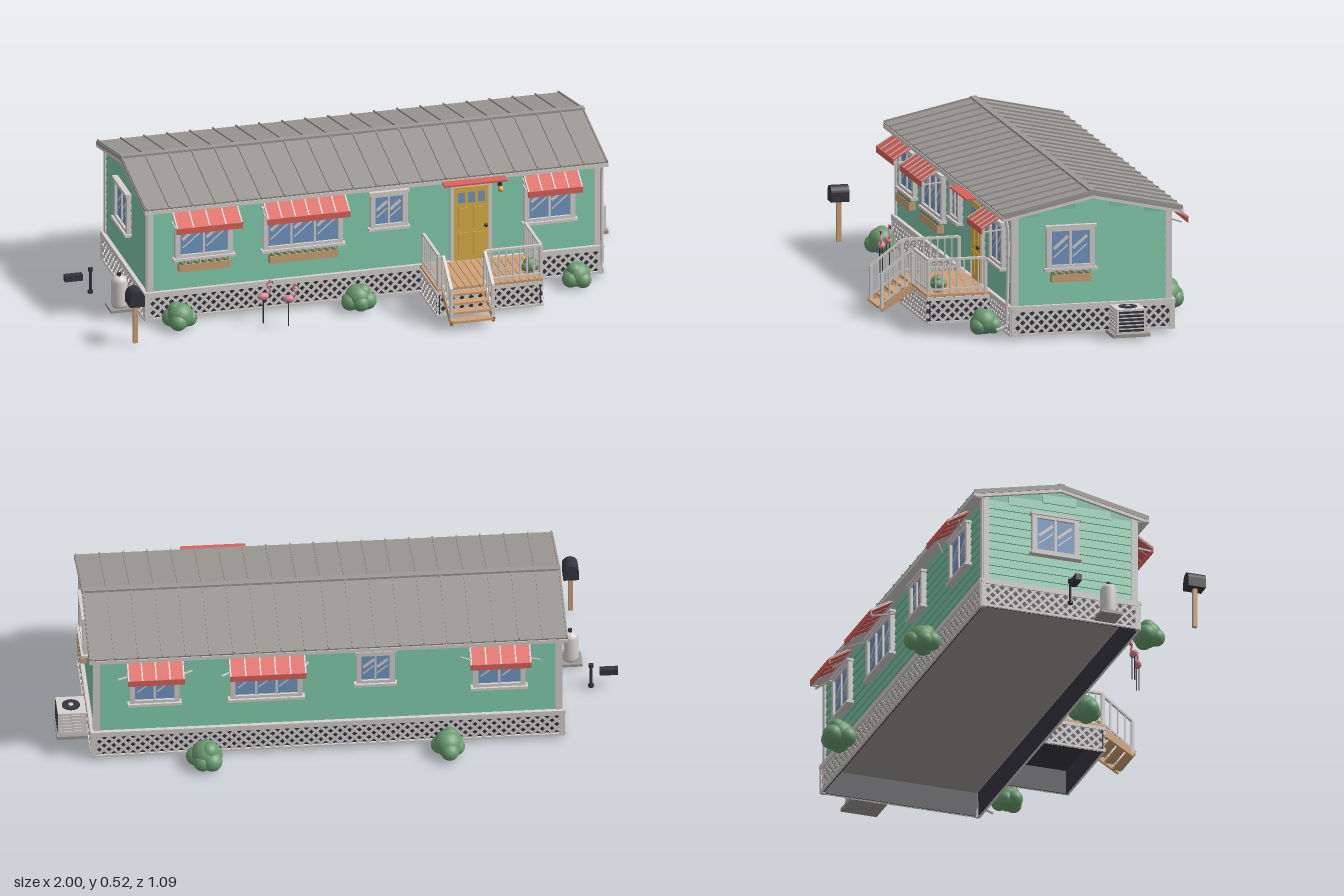
import * as THREE from 'three';
import { mergeGeometries } from 'three/addons/utils/BufferGeometryUtils.js';

const mat = (name, color) => Object.assign(new THREE.MeshStandardMaterial({ color }), { name });
const M = {
  siding: mat('mint siding', 0x7cc4a6), trim: mat('pale trim', 0xd6d2d0), roof: mat('grey roof', 0x9d9995),
  red: mat('awning red', 0xdd625a), glass: mat('window blue', 0x7299c6), wood: mat('light wood', 0xd0a276),
  dark: mat('dark iron', 0x35353f), leaf: mat('leaf green', 0x6b9c70), gold: mat('door yellow', 0xdcb148),
  pink: mat('flower pink', 0xdc8898),
};

function add(parent, name, geo, m, x = 0, y = 0, z = 0) {
  const mesh = new THREE.Mesh(geo, m);
  mesh.name = name;
  mesh.position.set(x, y, z);
  parent.add(mesh);
  return mesh;
}
const box = (p, name, m, w, h, d, x, y, z) => add(p, name, new THREE.BoxGeometry(w, h, d), m, x, y, z);
const cyl = (p, name, m, r0, r1, h, x, y, z, n = 16) => add(p, name, new THREE.CylinderGeometry(r0, r1, h, n), m, x, y, z);
const ball = (p, name, m, r, x, y, z) => add(p, name, new THREE.SphereGeometry(r, 12, 8), m, x, y, z);
function group(parent, name, x = 0, y = 0, z = 0, ry = 0) {
  const g = new THREE.Group();
  g.name = name;
  g.position.set(x, y, z);
  g.rotation.y = ry;
  parent.add(g);
  return g;
}
// Square bar between two points
function bar(p, name, m, a, b, w, d = w) {
  const A = new THREE.Vector3(...a), B = new THREE.Vector3(...b);
  const mesh = box(p, name, m, w, d, A.distanceTo(B), 0, 0, 0);
  mesh.position.copy(A).add(B).multiplyScalar(0.5);
  mesh.lookAt(B);
  return mesh;
}

// Crossed diagonal slats clipped to a rectangle, with dark backing and rails
function lattice(p, x0, x1, y0, y1) {
  const H = y1 - y0, slats = [];
  for (let c = x0 - H; c < x1; c += 0.034) {
    const t0 = Math.max(0, x0 - c), t1 = Math.min(H, x1 - c);
    if (t1 - t0 < 0.004) continue;
    for (const s of [1, -1]) {
      const g = new THREE.BoxGeometry((t1 - t0) * Math.SQRT2, 0.009, 0.004);
      g.rotateZ(s * Math.PI / 4);
      const t = (t0 + t1) / 2;
      g.translate(c + t, s > 0 ? y0 + t : y1 - t, 0.002 + s * 0.0008);
      slats.push(g);
    }
  }
  add(p, 'latticeSlats', mergeGeometries(slats), M.trim);
  const w = x1 - x0, x = (x0 + x1) / 2;
  box(p, 'latticeBacking', M.dark, w, H, 0.004, x, (y0 + y1) / 2, -0.004);
  box(p, 'latticeTopRail', M.trim, w, 0.012, 0.012, x, y1, 0.002);
  box(p, 'latticeBottomRail', M.trim, w, 0.008, 0.01, x, y0 + 0.004, 0.002);
}

function awning(p, x, w, y) {
  const g = group(p, 'awning', x, y, 0);
  g.rotation.x = 0.549;
  box(g, 'awningSheet', M.red, w, 0.005, 0.105, 0, 0, 0.0525);
  const n = Math.round(w / 0.054);
  for (let i = 0; i <= n; i++) box(g, 'awningBatten', M.trim, 0.005, 0.008, 0.105, (i / n - 0.5) * (w - 0.005), 0.001, 0.0525);
  box(p, 'awningValance', M.red, w, 0.022, 0.004, x, y - 0.063, 0.09);
  for (const s of [-1, 1]) bar(p, 'awningArm', M.trim, [x + s * (w / 2 - 0.006), y - 0.075, 0.004], [x + s * (w / 2 - 0.006), y - 0.052, 0.085], 0.005);
}

// Framed window on a wall; x centre, y range, number of panes
function windowUnit(p, x, w, y0, y1, panes, { shade = 0, planter = 0 } = {}) {
  const h = y1 - y0, g = group(p, 'window', x, (y0 + y1) / 2, 0.004), iw = w - 0.036, ih = h - 0.032;
  box(g, 'windowGlass', M.glass, w - 0.01, h - 0.01, 0.006, 0, 0, 0);
  for (const s of [-1, 1]) {
    box(g, 'windowJamb', M.trim, 0.018, h, 0.02, s * (w / 2 - 0.009), 0, 0.002);
    box(g, 'windowRail', M.trim, w, 0.016, 0.02, 0, s * (h / 2 - 0.008), 0.002);
  }
  box(g, 'windowSill', M.trim, w + 0.016, 0.01, 0.03, 0, -h / 2, 0.005);
  box(g, 'windowHead', M.trim, w + 0.012, 0.01, 0.026, 0, h / 2, 0.004);
  const pw = iw / panes;
  for (let i = 0; i < panes; i++) {
    const cx = -iw / 2 + pw * (i + 0.5);
    if (i) box(g, 'windowMullion', M.trim, 0.008, ih, 0.014, cx - pw / 2, 0, 0.002);
    for (const [dy, t] of [[0.018, 0.011], [-0.012, 0.005]]) { // reflections
      const r = box(g, 'glassStreak', M.trim, pw * 0.98, t, 0.002, cx, dy * ih / 0.12, 0.003);
      r.rotation.z = 0.7;
    }
  }
  if (shade) awning(p, x, shade, 0.427);
  if (planter) {
    const y = y0 - 0.03;
    box(p, 'flowerBox', M.wood, planter, 0.028, 0.026, x, y, 0.014);
    const n = Math.round(planter / 0.026);
    for (let i = 0; i < n; i++) {
      const px = x + ((i + 0.5) / n - 0.5) * planter;
      ball(p, 'flowerLeaves', M.leaf, 0.012, px, y + 0.017, 0.015);
      ball(p, 'flower', i % 2 ? M.pink : M.red, 0.005, px + 0.006, y + 0.026, 0.021);
    }
  }
}

function bush(p, x, z, r) {
  const g = group(p, 'bush', x, 0, z, x * 5);
  for (const [bx, by, bz, s] of [[0, 0.62, 0, 0.75], [0.5, 0.45, 0.15, 0.52], [-0.48, 0.42, 0.2, 0.5], [0.1, 0.4, -0.45, 0.5], [0.1, 0.4, 0.42, 0.48], [0.25, 0.95, 0.05, 0.45]])
    add(g, 'bushLeaves', new THREE.IcosahedronGeometry(r * s, 3), M.leaf, bx * r, by * r, bz * r);
  for (let i = 0; i < 5; i++) ball(g, 'bushBlossom', M.pink, 0.004, Math.cos(i * 1.3) * r * 0.55, r * 1.02, Math.sin(i * 1.3) * r * 0.55);
}

function house(root) {
  const h = group(root, 'house', 0.0475, 0, -0.115), L = 0.82, D = 0.283;
  const s = new THREE.Shape([[-D, 0.1], [D, 0.1], [D, 0.43], [0, 0.492], [-D, 0.43]].map(q => new THREE.Vector2(...q)));
  const body = add(h, 'bodyCore', new THREE.ExtrudeGeometry(s, { depth: 2 * L, bevelEnabled: false }), M.siding, -L, 0, 0);
  body.rotation.y = Math.PI / 2;
  box(h, 'floor', M.roof, 2 * L, 0.008, 2 * D, 0, 0.094, 0);
  // Walls: lap siding, corner boards and lattice skirt
  for (const [ry, half, out] of [[0, L, D], [Math.PI, L, D], [Math.PI / 2, D, L], [-Math.PI / 2, D, L]]) {
    const w = group(h, 'wall', Math.sin(ry) * out, 0, Math.cos(ry) * out, ry);
    const board = (y, hw) => { box(w, 'sidingBoard', M.siding, 2 * hw, 0.034, 0.004, 0, y, 0.001).rotation.x = -0.13; };
    for (let i = 0; i < 10; i++) board(0.122 + i * 0.0315, half);
    if (half === D) { board(0.43, 0.19); board(0.458, 0.063); }
    for (const e of [-1, 1]) box(w, 'cornerBoard', M.trim, 0.02, 0.335, 0.012, e * (half - 0.006), 0.265, 0.003);
    const k = group(w, 'skirt', 0, 0, 0.011);
    lattice(k, -half - 0.01, half + 0.01, 0.002, 0.094);
    box(k, 'skirtLedge', M.trim, 2 * half + 0.03, 0.012, 0.018, 0, 0.102, -0.001);
    for (const e of [-1, 1]) box(k, 'skirtPost', M.trim, 0.016, 0.095, 0.012, e * (half + 0.005), 0.0475, 0);
  }
  // Pitched metal roof with standing seams
  for (const ry of [0, Math.PI]) {
    const side = group(h, 'roofSide', 0, 0.508, 0, ry), slope = group(side, 'roofSlope');
    slope.rotation.x = 0.212;
    box(slope, 'roofSheet', M.roof, 1.69, 0.012, 0.334, 0, -0.006, 0.167);
    for (let i = 0; i <= 20; i++) box(slope, 'roofSeam', M.roof, 0.005, 0.008, 0.332, -0.84 + i * 0.084, 0.002, 0.167);
    for (const e of [-1, 1]) box(slope, 'rakeBoard', M.trim, 0.01, 0.014, 0.33, e * 0.838, -0.016, 0.166);
    box(side, 'gutter', M.trim, 1.69, 0.014, 0.012, 0, -0.083, 0.322);
    box(side, 'soffit', M.trim, 1.66, 0.004, 0.04, 0, -0.087, 0.302);
  }
  box(h, 'ridgeCap', M.roof, 1.69, 0.008, 0.024, 0, 0.511, 0);
}

function openings(root) {
  const front = group(root, 'frontOpenings', 0, 0, 0.173), back = group(root, 'backOpenings', 0, 0, -0.403, Math.PI);
  const right = group(root, 'plusEndOpenings', 0.872, 0, 0, Math.PI / 2), left = group(root, 'minusEndOpenings', -0.777, 0, 0, -Math.PI / 2);
  windowUnit(front, -0.575, 0.21, 0.225, 0.385, 2, { shade: 0.24, planter: 0.185 });
  windowUnit(front, -0.213, 0.29, 0.222, 0.385, 3, { shade: 0.3, planter: 0.25 });
  windowUnit(front, 0.1, 0.135, 0.262, 0.398, 2);
  windowUnit(front, 0.686, 0.185, 0.222, 0.385, 2, { shade: 0.2 });
  windowUnit(back, -0.66, 0.175, 0.222, 0.385, 2, { shade: 0.2 });
  windowUnit(back, -0.265, 0.255, 0.222, 0.385, 3, { shade: 0.27 });
  windowUnit(back, 0.12, 0.135, 0.262, 0.398, 2);
  windowUnit(back, 0.557, 0.185, 0.222, 0.385, 2, { shade: 0.215 });
  windowUnit(right, 0.035, 0.175, 0.235, 0.388, 2, { planter: 0.145 });
  windowUnit(left, -0.135, 0.175, 0.235, 0.388, 2);
  // Front door with lights, panels, lamp and flat canopy
  const d = group(front, 'door', 0.4, 0, 0);
  box(d, 'doorFrame', M.trim, 0.152, 0.295, 0.014, 0, 0.252, 0.003);
  box(d, 'doorLeaf', M.gold, 0.126, 0.278, 0.016, 0, 0.247, 0.005);
  for (const x of [-0.036, 0, 0.036]) box(d, 'doorLight', M.glass, 0.025, 0.04, 0.004, x, 0.347, 0.013);
  for (const x of [-0.028, 0.028]) for (const [y, hh] of [[0.27, 0.075], [0.17, 0.085]]) box(d, 'doorPanel', M.gold, 0.04, hh, 0.006, x, y, 0.013);
  ball(d, 'doorKnob', M.dark, 0.007, 0.052, 0.235, 0.018);
  box(front, 'canopy', M.red, 0.23, 0.006, 0.08, 0.4, 0.424, 0.036).rotation.x = 0.06;
  box(front, 'lampBracket', M.dark, 0.012, 0.025, 0.014, 0.505, 0.388, 0.01);
  ball(front, 'lampGlobe', M.gold, 0.011, 0.505, 0.368, 0.02);
  // Downspout at the front corner
  const path = [[0.874, 0.425, 0.2], [0.874, 0.39, 0.192], [0.874, 0.1, 0.195], [0.874, 0.04, 0.2], [0.874, 0.025, 0.232]];
  add(root, 'downspout', new THREE.TubeGeometry(new THREE.CatmullRomCurve3(path.map(q => new THREE.Vector3(...q))), 30, 0.006, 8), M.trim);
}

function porch(root) {
  const p = group(root, 'porch'), x0 = 0.212, x1 = 0.6, z1 = 0.413;
  for (let i = 0; i < 15; i++) box(p, 'deckBoard', M.wood, 0.0235, 0.01, 0.235, x0 + 0.013 + i * 0.0259, 0.102, 0.297);
  box(p, 'deckFrame', M.dark, 0.38, 0.006, 0.22, 0.406, 0.093, 0.295);
  lattice(group(p, 'porchFront', 0, 0, z1 - 0.006), x0, x1, 0.002, 0.09);
  lattice(group(p, 'porchPlusSide', x1 - 0.006, 0, 0, Math.PI / 2), -z1, -0.185, 0.002, 0.09);
  lattice(group(p, 'porchMinusSide', x0 + 0.006, 0, 0, -Math.PI / 2), 0.185, z1, 0.002, 0.09);
  // Rail with balusters between two floor points
  const rail = (a, b) => {
    const up = (q, y) => [q[0], q[1] + y, q[2]], n = Math.round(Math.hypot(b[0] - a[0], b[2] - a[2]) / 0.027);
    bar(p, 'handrail', M.trim, up(a, 0.125), up(b, 0.125), 0.011, 0.008);
    bar(p, 'lowerRail', M.trim, up(a, 0.018), up(b, 0.018), 0.006);
    for (let i = 0; i <= n; i++) {
      const q = a.map((v, k) => v + (b[k] - v) * i / n), end = i === 0 || i === n, t = end ? 0.011 : 0.005;
      box(p, end ? 'railPost' : 'baluster', M.trim, t, 0.125, t, q[0], q[1] + 0.0625, q[2]);
    }
  };
  const y = 0.105, zr = 0.406;
  rail([0.594, y, 0.2], [0.594, y, zr]);
  rail([0.39, y, zr], [0.594, y, zr]);
  rail([0.222, y, 0.2], [0.222, y, zr]);
  for (const x of [0.236, 0.388]) {
    rail([x, y, 0.412], [x, 0.022, 0.523]);
    bar(p, 'stairStringer', M.wood, [x, 0.092, 0.41], [x, 0.02, 0.53], 0.01, 0.026);
  }
  for (let i = 0; i < 4; i++) box(p, 'stairTread', M.wood, 0.15, 0.008, 0.034, 0.312, 0.09 - i * 0.022, 0.428 + i * 0.03);
  cyl(p, 'plantPot', M.wood, 0.02, 0.015, 0.03, 0.565, 0.122, 0.365);
  bush(group(p, 'pottedPlant', 0.565, 0.125, 0.365), 0, 0, 0.033);
}

function yard(root) {
  for (const [x, z, r] of [[-0.68, 0.25, 0.063], [-0.03, 0.25, 0.063], [0.77, 0.25, 0.06], [-0.37, -0.485, 0.066], [0.485, -0.485, 0.07]]) bush(root, x, z, r);
  // Lawn birds
  for (const [x, z, ry] of [[-0.39, 0.3, 0], [-0.31, 0.345, -0.3]]) {
    const b = group(root, 'lawnBird', x, 0, z, ry);
    ball(b, 'birdBody', M.pink, 0.016, 0, 0.1, 0).scale.set(1.35, 0.85, 0.85);
    const c = new THREE.CatmullRomCurve3([[0.014, 0.104, 0], [0.026, 0.122, 0], [0.014, 0.142, 0], [0.024, 0.156, 0]].map(q => new THREE.Vector3(...q)));
    add(b, 'birdNeck', new THREE.TubeGeometry(c, 16, 0.0035, 6), M.pink);
    ball(b, 'birdHead', M.pink, 0.006, 0.026, 0.156, 0);
    cyl(b, 'birdBeak', M.dark, 0.003, 0.001, 0.012, 0.033, 0.15, 0, 6).rotation.z = 0.5;
    for (const s of [-1, 1]) cyl(b, 'birdLeg', M.dark, 0.002, 0.002, 0.092, 0, 0.046, s * 0.005, 6);
  }
  // Mailbox
  const m = group(root, 'mailbox', -0.872, 0, 0.355);
  box(m, 'mailPost', M.wood, 0.016, 0.15, 0.016, 0, 0.075, 0);
  box(m, 'mailBody', M.dark, 0.055, 0.034, 0.066, 0, 0.164, 0);
  cyl(m, 'mailLid', M.dark, 0.0275, 0.0275, 0.066, 0, 0.178, 0, 20).rotation.x = Math.PI / 2;
  // Gas tank
  const t = group(root, 'gasTank', -0.845, 0, 0.042);
  box(t, 'tankPad', M.roof, 0.08, 0.01, 0.08, 0, 0.005, 0);
  const prof = [[0, 0.01], [0.026, 0.01], [0.029, 0.02], [0.029, 0.105], [0.023, 0.119], [0.011, 0.125], [0, 0.126]];
  add(t, 'tankBody', new THREE.LatheGeometry(prof.map(q => new THREE.Vector2(...q)), 24), M.trim);
  cyl(t, 'tankValve', M.dark, 0.007, 0.007, 0.012, 0, 0.13, 0);
  // Utility post and box
  const u = group(root, 'utilityPost', -0.905, 0, -0.122);
  cyl(u, 'post', M.dark, 0.005, 0.005, 0.09, 0, 0.045, 0, 10);
  cyl(u, 'postBase', M.dark, 0.01, 0.01, 0.01, 0, 0.005, 0, 12);
  cyl(u, 'postCap', M.dark, 0.009, 0.009, 0.012, 0, 0.089, 0, 12);
  box(u, 'utilityBox', M.dark, 0.065, 0.023, 0.024, -0.0625, 0.065, -0.002);
  // Air conditioner
  const a = group(root, 'airConditioner', 0.94, 0, -0.228);
  box(a, 'coolerPad', M.roof, 0.11, 0.012, 0.135, 0, 0.006, 0);
  box(a, 'coolerBody', M.trim, 0.1, 0.088, 0.105, 0, 0.056, 0);
  cyl(a, 'coolerFan', M.dark, 0.032, 0.032, 0.004, 0, 0.101, 0, 24);
  cyl(a, 'fanHub', M.trim, 0.009, 0.009, 0.004, 0, 0.103, 0);
  for (let i = 0; i < 6; i++) {
    box(a, 'coolerLouvre', M.dark, 0.004, 0.008, 0.09, 0.05, 0.024 + i * 0.013, 0);
    for (const s of [-1, 1]) box(a, 'coolerSideLouvre', M.trim, 0.085, 0.004, 0.004, 0, 0.024 + i * 0.013, s * 0.053);
  }
}

export function createModel() {
  const root = new THREE.Group();
  root.name = 'mobileHome';
  house(root);
  openings(root);
  porch(root);
  yard(root);
  return root;
}
